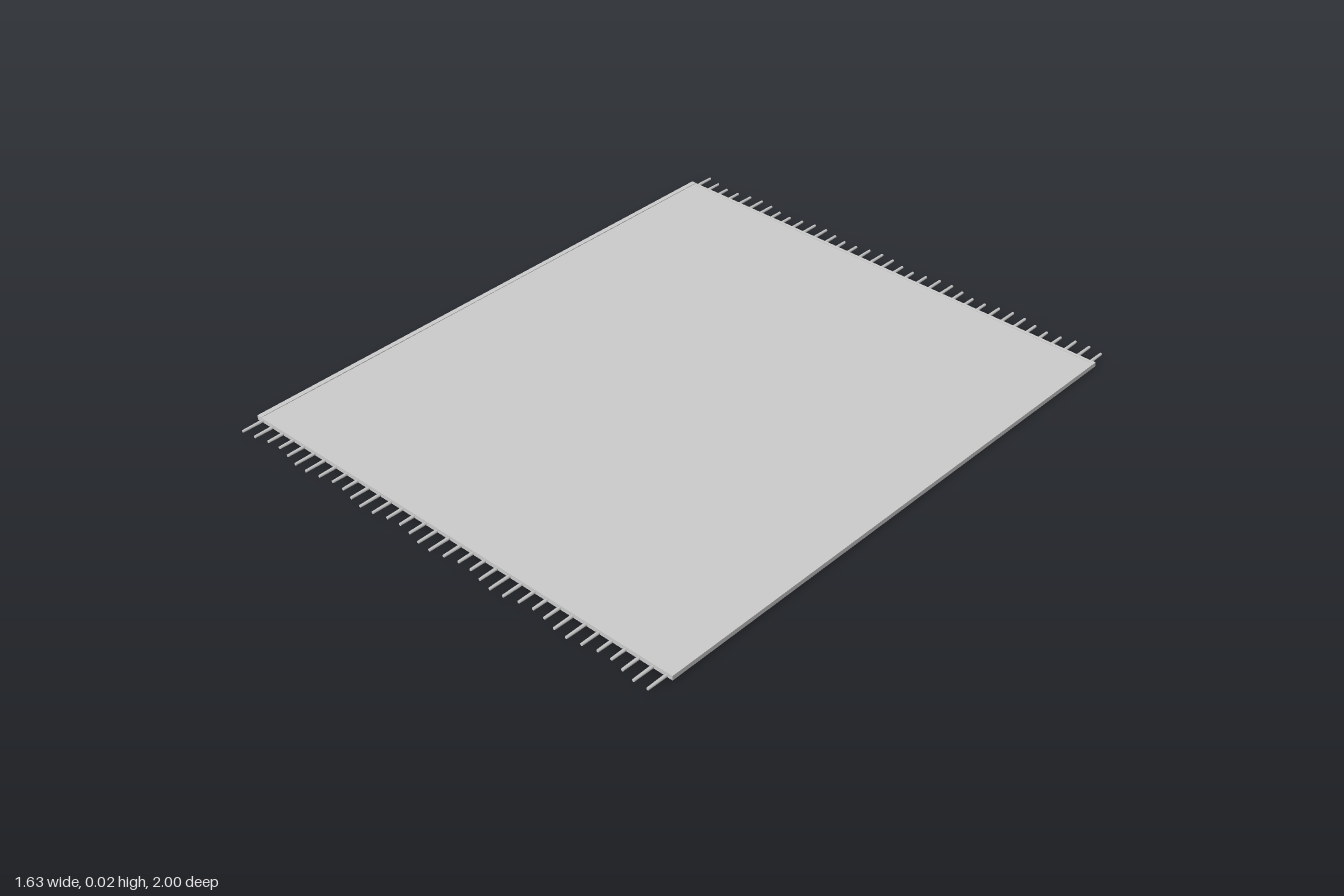
import * as THREE from 'three';

export function createModel() {
  const rug = new THREE.Group();
  rug.name = 'rug';
  const material = new THREE.MeshStandardMaterial({ color: 0xcccccc });
  const W = 1.62, D = 1.86;

  const add = (geometry, name, x, y, z, parent = rug) => {
    const mesh = new THREE.Mesh(geometry, material);
    mesh.name = name;
    mesh.position.set(x, y, z);
    parent.add(mesh);
    return mesh;
  };

  // Woven field with a barely uneven upper surface
  const field = new THREE.BoxGeometry(W - 0.02, 0.012, D - 0.01, 32, 1, 36);
  const p = field.attributes.position;
  for (let i = 0; i < p.count; i++) {
    if (p.getY(i) > 0) {
      p.setY(i, p.getY(i) + 0.0006 * Math.sin(p.getX(i) * 7) * Math.cos(p.getZ(i) * 6));
    }
  }
  field.computeVertexNormals();
  add(field, 'field', 0, 0.01, 0);

  // Backing set in from the edge
  add(new THREE.BoxGeometry(W - 0.06, 0.004, D - 0.06), 'backing', 0, 0.002, 0);

  // Bound edges on all four sides
  for (const s of [-1, 1]) {
    add(new THREE.BoxGeometry(0.016, 0.015, D), 'sideBinding', s * (W / 2 - 0.004), 0.0105, 0);
    add(new THREE.BoxGeometry(W, 0.014, 0.01), 'endBinding', 0, 0.0105, s * (D / 2 - 0.005));
  }

  // Fringe of uneven tassels at both ends
  const count = 35;
  for (const s of [1, -1]) {
    const fringe = new THREE.Group();
    fringe.name = s > 0 ? 'frontFringe' : 'backFringe';
    rug.add(fringe);
    for (let i = 0; i < count; i++) {
      const wave = s > 0 ? Math.cos(i * 1.13) : Math.cos((i - 5) * 1.13);
      const length = 0.0595 + 0.0105 * wave;
      const strand = new THREE.CylinderGeometry(0.0055, 0.0045, length + 0.01, 6);
      strand.rotateX(-s * Math.PI / 2);
      add(strand, 'tassel', -0.793 + i * 1.586 / (count - 1), 0.008, s * (D / 2 + length / 2 - 0.005), fringe);
    }
  }
  return rug;
}
